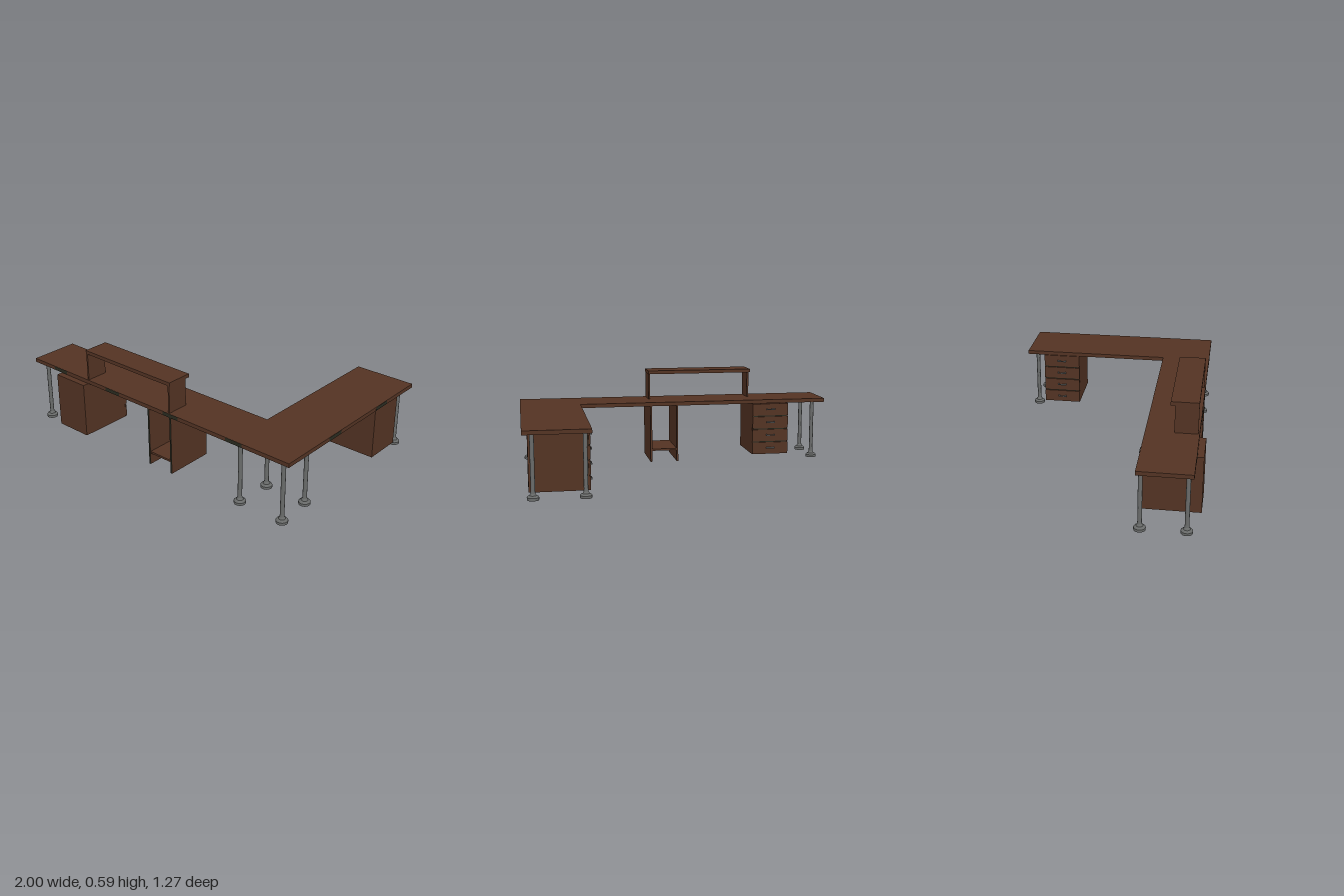
import * as THREE from 'three';

const mat = (name, color, side = THREE.FrontSide) => {
  const m = new THREE.MeshStandardMaterial({ color, side });
  m.name = name;
  return m;
};

export function createModel() {
  const wood = mat('brown wood', 0x533323);
  const metal = mat('grey metal', 0x686a69);
  const dark = mat('dark patch', 0x2a2b20);
  const desk = new THREE.Group();
  desk.name = 'cornerDesk';

  // Box given by its lower and upper corners
  const box = (name, material, [x0, y0, z0], [x1, y1, z1], parent = desk) => {
    const mesh = new THREE.Mesh(new THREE.BoxGeometry(x1 - x0, y1 - y0, z1 - z0), material);
    mesh.position.set((x0 + x1) / 2, (y0 + y1) / 2, (z0 + z1) / 2);
    mesh.name = name;
    parent.add(mesh);
    return mesh;
  };

  // L-shaped worktop
  const outline = new THREE.Shape([
    [-1, 0.29], [0.62, 0.29], [0.62, -0.633], [1, -0.633], [1, 0.597], [-1, 0.597],
  ].map(([x, z]) => new THREE.Vector2(x, z)));
  const topGeo = new THREE.ExtrudeGeometry(outline, { depth: 0.024, bevelEnabled: false });
  topGeo.rotateX(Math.PI / 2);
  const top = new THREE.Mesh(topGeo, wood);
  top.position.y = 0.396;
  top.name = 'worktop';
  desk.add(top);

  // Dark patches on the outer edges
  for (const x of [-0.76, -0.3, 0.17, 0.63])
    box('frontEdgePatch', dark, [x - 0.057, 0.373, 0.596], [x + 0.057, 0.395, 0.598]);
  for (const z of [0.178, -0.29])
    box('sideEdgePatch', dark, [0.999, 0.373, z - 0.057], [1.001, 0.395, z + 0.057]);

  // Dark patches on the underside
  for (const [x, z] of [[0.91, 0.36], [0.64, 0.456], [0.32, 0.49], [0.87, -0.08],
    [0.865, -0.54], [-0.08, 0.36], [-0.44, 0.36], [-0.92, 0.36]]) {
    const patch = new THREE.Mesh(new THREE.CylinderGeometry(0.062, 0.062, 0.002, 6), dark);
    patch.position.set(x, 0.3715, z);
    patch.name = 'undersidePatch';
    desk.add(patch);
  }

  // Raised shelf on two side panels
  box('raisedShelf', wood, [-0.522, 0.564, 0.43], [0.163, 0.586, 0.59]);
  for (const x of [-0.519, 0.149])
    box('raisedShelfSide', wood, [x, 0.396, 0.455], [x + 0.011, 0.564, 0.59]);

  // Open stand with a low shelf
  for (const x of [-0.011, 0.16]) {
    box('standSide', wood, [x, 0.006, 0.29], [x + 0.011, 0.372, 0.594]);
    box('standSideEdge', dark, [x, 0.006, 0.594], [x + 0.011, 0.372, 0.595]);
  }
  box('standShelf', wood, [0, 0.078, 0.292], [0.16, 0.09, 0.592]);

  // Turned legs with round feet
  const legGeo = new THREE.LatheGeometry([
    [0, 0], [0.033, 0], [0.034, 0.003], [0.034, 0.016], [0.028, 0.023],
    [0.02, 0.026], [0.0135, 0.038], [0.0125, 0.05], [0.0125, 0.372],
  ].map(([r, y]) => new THREE.Vector2(r, y)), 20);
  const legGeoSharp = legGeo.toNonIndexed();
  legGeoSharp.computeVertexNormals();
  for (const [x, z] of [[-0.92, 0.31], [-0.92, 0.565], [0.665, 0.34], [0.655, 0.565],
    [0.93, 0.34], [0.945, 0.565], [0.655, -0.573], [0.945, -0.573]]) {
    const leg = new THREE.Mesh(legGeoSharp, metal);
    leg.position.set(x, 0, z);
    leg.name = 'leg';
    desk.add(leg);
  }

  // Drawer cabinet: its drawers face -z before turning
  const cabinet = (name, x, z, turn) => {
    const g = new THREE.Group();
    g.name = name;
    box('cabinetBody', wood, [-0.12, 0.03, 0.012], [0.12, 0.372, 0.345], g);
    box('drawerGap', dark, [-0.114, 0.036, 0.008], [0.114, 0.366, 0.012], g);
    for (let i = 0; i < 4; i++) {
      const y = 0.032 + i * 0.086;
      box('drawerFront', wood, [-0.12, y, 0], [0.12, y + 0.078, 0.011], g);
      // U-shaped pull
      const h = y + 0.042;
      box('handleBar', metal, [-0.028, h - 0.004, -0.016], [0.028, h + 0.004, -0.011], g);
      for (const s of [-0.028, 0.022])
        box('handlePost', metal, [s, h - 0.004, -0.011], [s + 0.006, h + 0.004, 0], g);
    }
    g.position.set(x, 0, z);
    g.rotation.y = turn;
    desk.add(g);
  };
  cabinet('mainCabinet', -0.631, 0.29, 0);
  cabinet('returnCabinet', 0.623, -0.403, Math.PI / 2);

  return desk;
}
